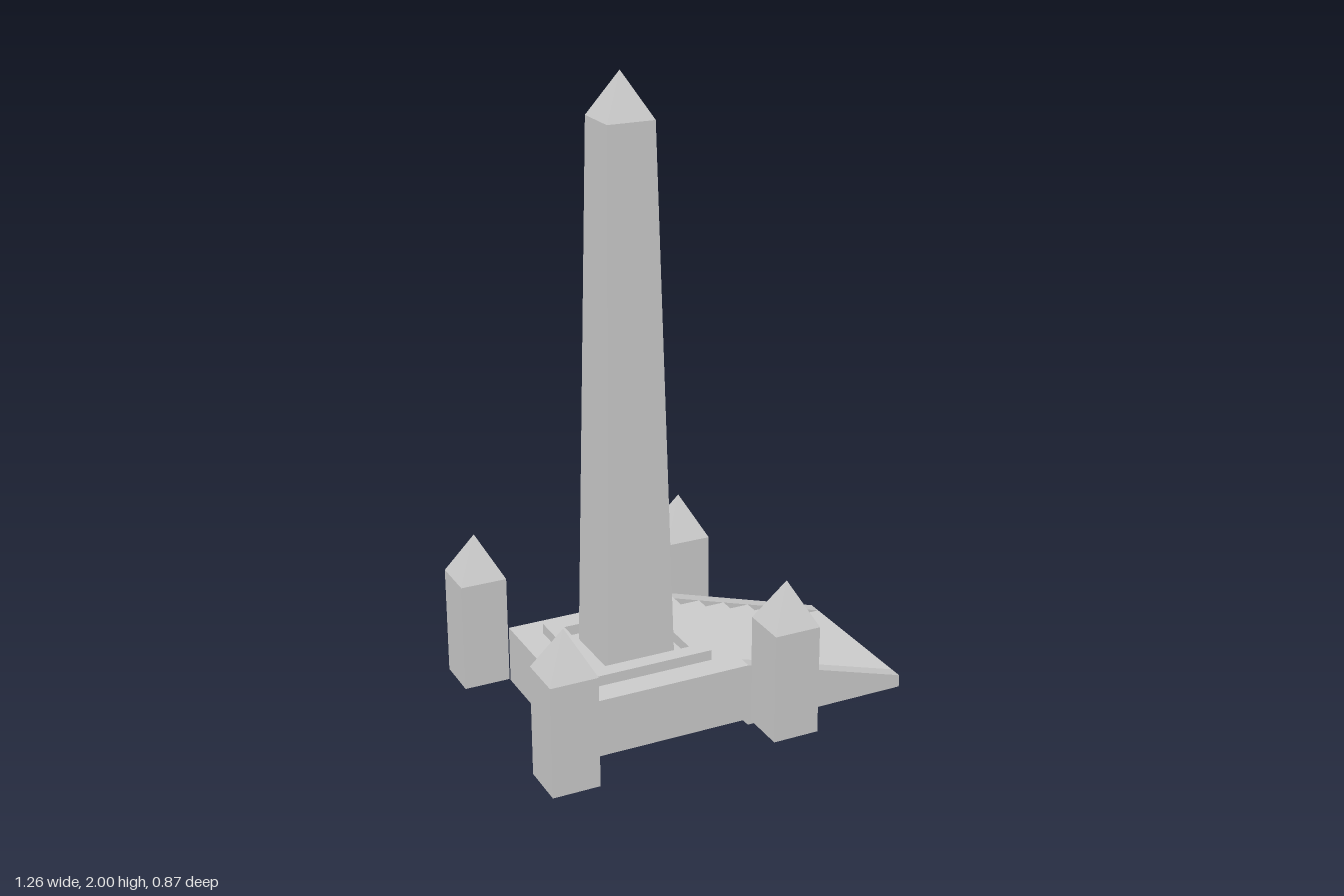
import * as THREE from 'three';

const material = new THREE.MeshStandardMaterial({ color: 0xcccccc, flatShading: true });

function add(parent, name, geometry, x = 0, y = 0, z = 0) {
  const mesh = new THREE.Mesh(geometry, material);
  mesh.name = name;
  mesh.position.set(x, y, z);
  parent.add(mesh);
  return mesh;
}

// box given by its lower and upper limits
function addBox(parent, name, [x0, x1], [y0, y1], [z0, z1]) {
  const geometry = new THREE.BoxGeometry(x1 - x0, y1 - y0, z1 - z0);
  return add(parent, name, geometry, (x0 + x1) / 2, (y0 + y1) / 2, (z0 + z1) / 2);
}

// square tapered shaft with an optional pointed end, standing on y = 0
function squareShaft(topWidth, bottomWidth, height, openTop) {
  const r = Math.SQRT1_2;
  const g = new THREE.CylinderGeometry(topWidth * r, bottomWidth * r, height, 4, 1, openTop);
  return g.rotateY(Math.PI / 4).translate(0, height / 2, 0);
}

function pointedPillar(name, bottomWidth, topWidth, shaftHeight, capHeight) {
  const group = new THREE.Group();
  group.name = name;
  add(group, 'shaft', squareShaft(topWidth, bottomWidth, shaftHeight, false));
  add(group, 'pointedCap', squareShaft(0, topWidth, capHeight, false), 0, shaftHeight, 0);
  return group;
}

function squareOutline(Type, half) {
  return new Type([[-half, -half], [half, -half], [half, half], [-half, half]]
    .map(([x, y]) => new THREE.Vector2(x, y)));
}

export function createModel() {
  const model = new THREE.Group();
  model.name = 'obeliskMonument';
  const zMid = -0.004;

  // platform
  addBox(model, 'platform', [-0.478, 0.082], [0.02, 0.205], [-0.282, 0.274]);

  // raised square kerb around the obelisk foot
  const kerb = squareOutline(THREE.Shape, 0.196);
  kerb.holes.push(squareOutline(THREE.Path, 0.145));
  const kerbGeometry = new THREE.ExtrudeGeometry(kerb, { depth: 0.034, bevelEnabled: false });
  kerbGeometry.rotateX(-Math.PI / 2);
  add(model, 'kerb', kerbGeometry, -0.199, 0.204, zMid);

  // obelisk
  const obelisk = pointedPillar('obelisk', 0.222, 0.15, 1.661, 0.135);
  obelisk.position.set(-0.199, 0.204, zMid);
  model.add(obelisk);

  // four corner pillars
  for (const [name, x, z] of [
    ['backRightPillar', -0.553, -0.364], ['backLeftPillar', 0.159, -0.364],
    ['frontRightPillar', -0.556, 0.352], ['frontLeftPillar', 0.161, 0.359],
  ]) {
    const pillar = pointedPillar(name, 0.149, 0.149, 0.352, 0.138);
    pillar.position.set(x, 0.02, z);
    model.add(pillar);
  }

  // stairs descending towards +x, each tread meeting the rail slope at its nosing
  const stairs = new THREE.Group();
  stairs.name = 'stairs';
  model.add(stairs);
  const start = 0.082, end = 0.628, top = 0.205, low = 0.04, count = 6;
  for (let i = 0; i < count; i++) {
    const x0 = start + (end - start) * i / count;
    const x1 = start + (end - start) * (i + 1) / count;
    const y = top + (low - top) * (i + 1) / count;
    addBox(stairs, 'step', [x0, x1], [0, y], [-0.239, 0.23]);
  }

  // sloping side rails
  const rail = new THREE.Shape();
  rail.moveTo(start, 0);
  rail.lineTo(end, 0);
  rail.lineTo(end, low);
  rail.lineTo(start, top);
  const railGeometry = new THREE.ExtrudeGeometry(rail, { depth: 0.044, bevelEnabled: false });
  add(stairs, 'backRail', railGeometry, 0, 0, -0.283);
  add(stairs, 'frontRail', railGeometry, 0, 0, 0.23);

  return model;
}
